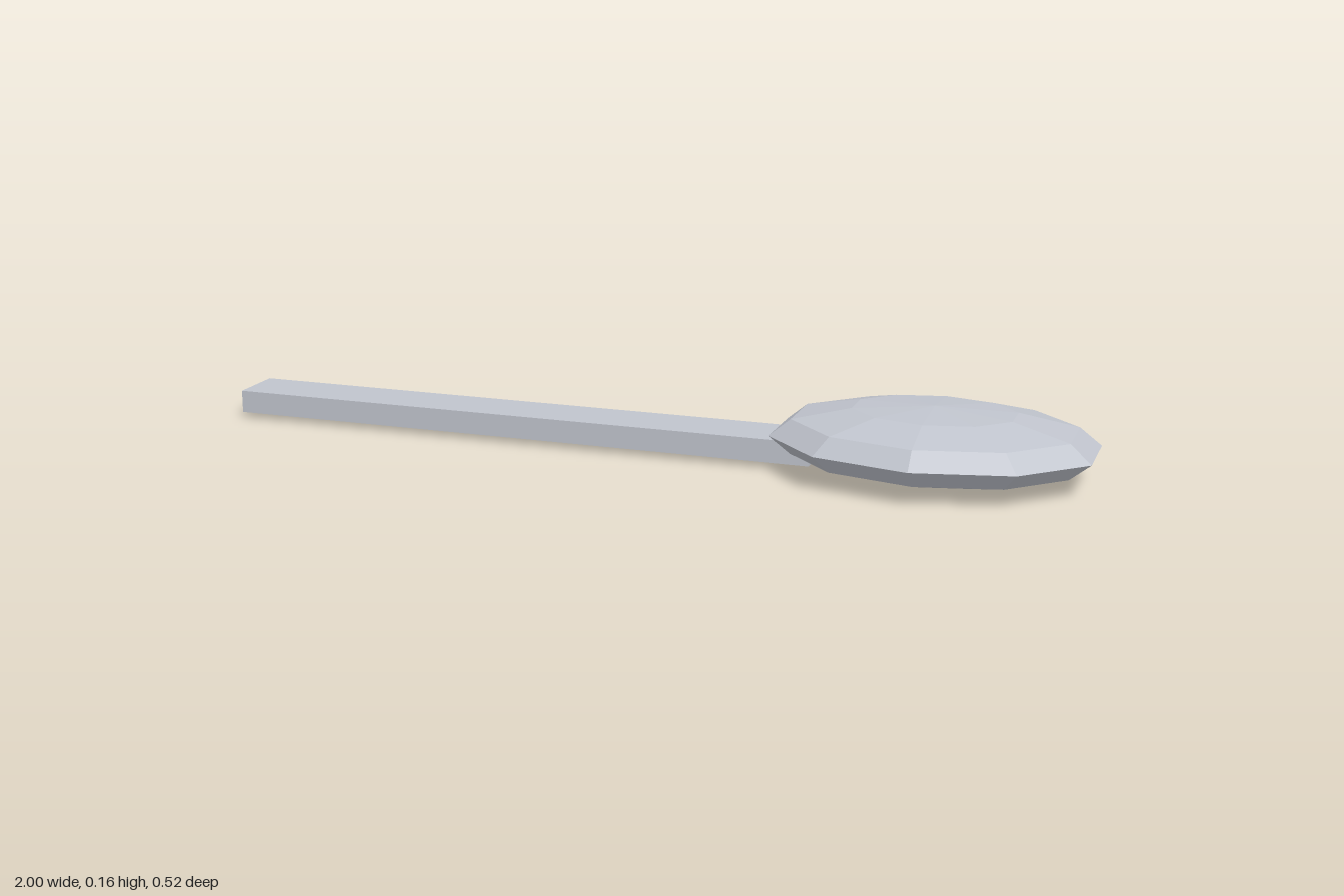
import * as THREE from 'three';

export function createModel() {
  const group = new THREE.Group();
  const metal = new THREE.MeshStandardMaterial({ color: 0xc0c4cd });
  metal.name = 'silver metal';

  // Faceted bowl: a flattened ten-sided ellipsoid with points on the z axis
  const bowlShape = new THREE.SphereGeometry(1, 10, 6, Math.PI / 2)
    .scale(0.364, 0.078, 0.26)
    .toNonIndexed();
  bowlShape.computeVertexNormals();
  const bowl = new THREE.Mesh(bowlShape, metal);
  bowl.name = 'bowl';
  bowl.position.set(0.654, 0.078, 0);

  // Straight flat handle, ending just under the rim of the bowl
  const start = -1, end = 0.395;
  const handle = new THREE.Mesh(new THREE.BoxGeometry(end - start, 0.052, 0.132), metal);
  handle.name = 'handle';
  handle.position.set((start + end) / 2, 0.039, 0);

  group.add(bowl, handle);
  return group;
}
